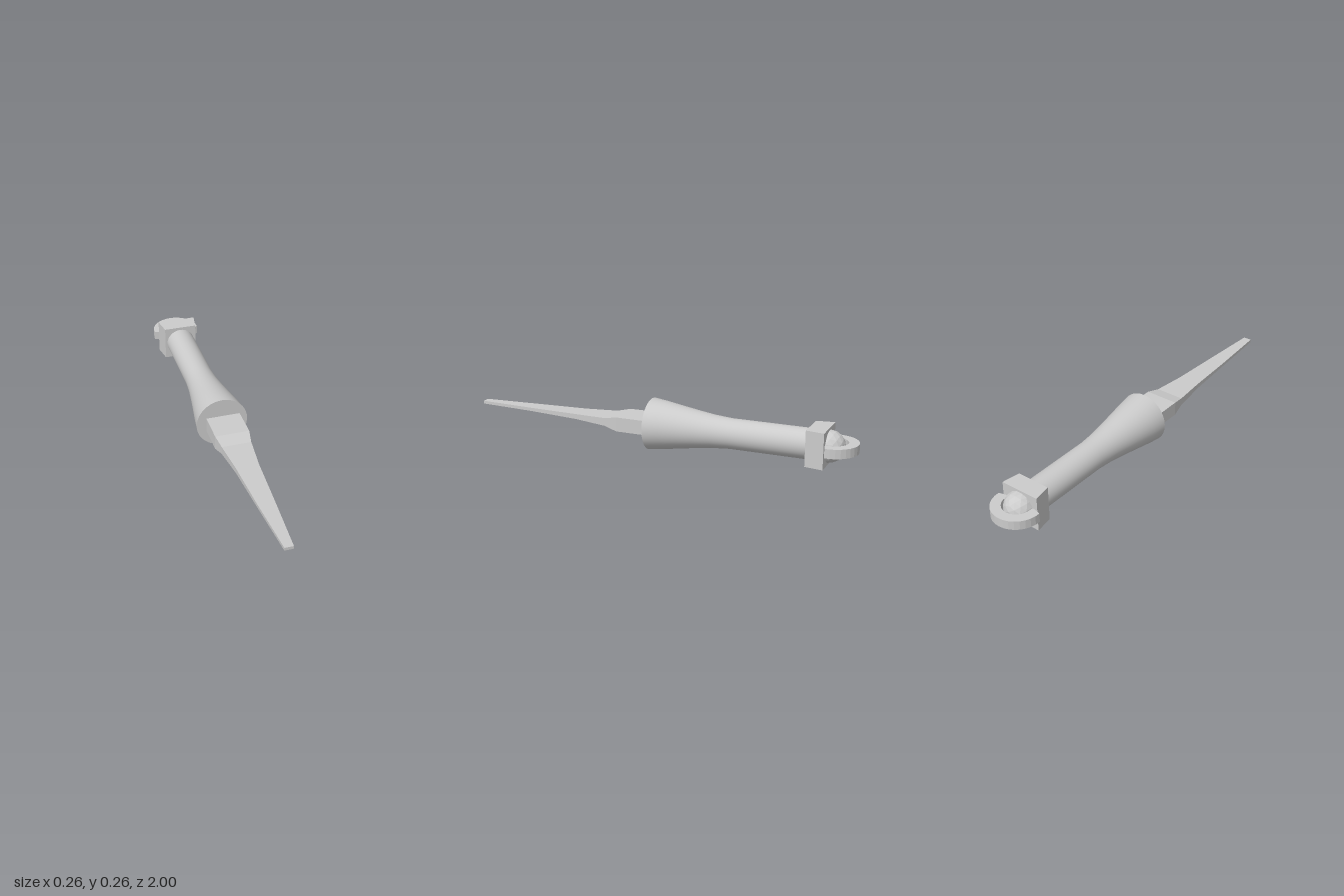
import * as THREE from 'three';
import { toCreasedNormals } from 'three/addons/utils/BufferGeometryUtils.js';

const AXIS_Y = 0.131;
const smooth = new THREE.MeshStandardMaterial({ color: 0xcccccc });
const faceted = new THREE.MeshStandardMaterial({ color: 0xcccccc, flatShading: true });

// Closed loft through rectangles [z, centreX, halfWidth, bottom, top], z ascending.
function rectLoft(sections) {
  const pos = [];
  const index = [];
  for (const [z, cx, w, y0, y1] of sections) {
    pos.push(cx - w, y0, z, cx + w, y0, z, cx + w, y1, z, cx - w, y1, z);
  }
  for (let i = 0; i < sections.length - 1; i++) {
    for (let j = 0; j < 4; j++) {
      const a = i * 4 + j, b = i * 4 + (j + 1) % 4;
      index.push(a, b, b + 4, a, b + 4, a + 4);
    }
  }
  const e = (sections.length - 1) * 4;
  index.push(0, 2, 1, 0, 3, 2, e, e + 1, e + 2, e, e + 2, e + 3);
  const geo = new THREE.BufferGeometry();
  geo.setAttribute('position', new THREE.Float32BufferAttribute(pos, 3));
  geo.setIndex(index);
  const flat = geo.toNonIndexed();
  flat.computeVertexNormals();
  return flat;
}

export function createModel() {
  const group = new THREE.Group();
  const add = (name, geo, mat) => {
    const mesh = new THREE.Mesh(geo, mat);
    mesh.name = name;
    group.add(mesh);
    return mesh;
  };

  // Tapering blade with a thick square root
  add('blade', rectLoft([
    [0.0, 0.005, 0.085, 0.095, 0.167],
    [0.19, 0.005, 0.085, 0.095, 0.167],
    [0.26, 0.005, 0.073, 0.112, 0.152],
    [0.43, 0.005, 0.056, 0.122, 0.148],
    [0.7, 0.005, 0.041, 0.129, 0.146],
    [1.0, 0.006, 0.021, 0.13, 0.145],
  ]), faceted);

  // Round handle flaring towards the blade
  const profile = [
    [0, -0.78], [0.074, -0.78], [0.074, -0.38], [0.081, -0.29], [0.092, -0.21],
    [0.106, -0.12], [0.119, -0.04], [0.129, 0.035], [0, 0.035],
  ].map(([r, z]) => new THREE.Vector2(r, z));
  const handle = new THREE.LatheGeometry(profile, 40).rotateX(Math.PI / 2);
  add('handle', toCreasedNormals(handle, 0.6), smooth).position.y = AXIS_Y;

  // Wedge-sided pommel block
  add('pommelBlock', rectLoft([
    [-0.86, 0, 0.1, 0.044, 0.219],
    [-0.77, 0, 0.085, 0.044, 0.219],
  ]), faceted);

  // Faceted ball set into the block
  add('pommelBall', new THREE.IcosahedronGeometry(0.078, 2), faceted)
    .position.set(0, AXIS_Y, -0.86);

  // Half ring around the ball, with slanted ends
  const ring = new THREE.Shape();
  const steps = 16;
  ring.moveTo(0.072, -0.022);
  for (let i = 0; i <= steps; i++) {
    const a = -0.08 + (Math.PI + 0.16) * i / steps;
    ring.lineTo(0.121 * Math.cos(a), 0.121 * Math.sin(a));
  }
  ring.lineTo(-0.072, -0.022);
  for (let i = steps; i >= 0; i--) {
    const a = Math.PI * i / steps;
    ring.lineTo(0.072 * Math.cos(a), 0.072 * Math.sin(a));
  }
  const ringGeo = new THREE.ExtrudeGeometry(ring, { depth: 0.045, bevelEnabled: false })
    .rotateX(-Math.PI / 2);
  add('pommelRing', ringGeo, faceted).position.set(0, 0.11, -0.879);

  return group;
}
